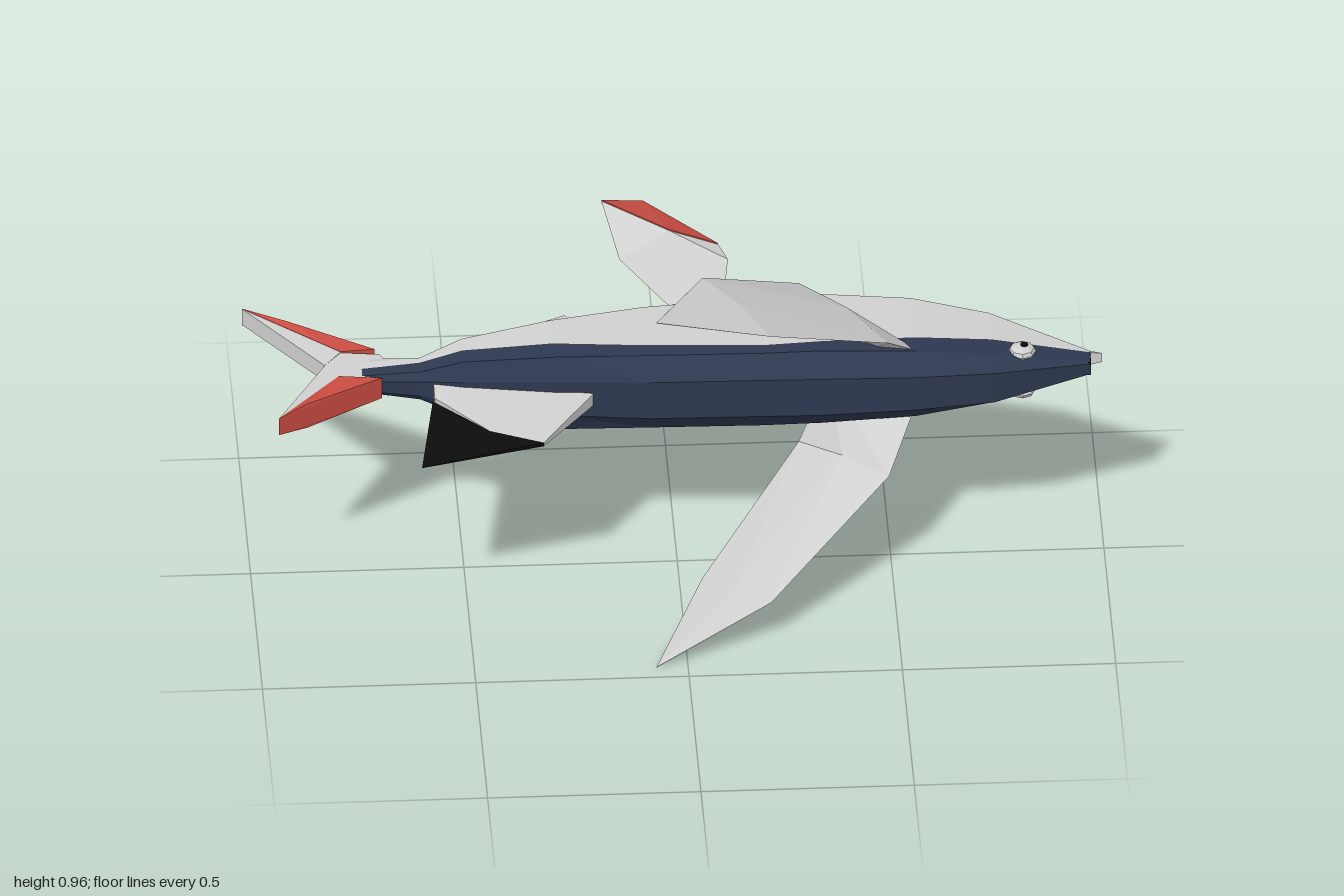
import * as THREE from 'three';
import { ConvexGeometry } from 'three/addons/geometries/ConvexGeometry.js';

const mat = (name, color, side = THREE.FrontSide) =>
  Object.assign(new THREE.MeshStandardMaterial({ color, flatShading: true, side }), { name });

export function createModel() {
  const model = new THREE.Group();
  model.name = 'fish';
  model.position.y = 0.48; // the fish is symmetric about this height
  const root = new THREE.Group();
  root.add(model);

  const grey = mat('pale grey', 0xd0d0d0);
  const navy = mat('navy back', 0x2e3850);
  const red = mat('red fin', 0xcb4c42);
  const black = mat('black', 0x0c0c0c);

  const add = (name, geometry, material) => {
    const mesh = new THREE.Mesh(geometry, material);
    mesh.name = name;
    model.add(mesh);
    return mesh;
  };
  const hull = (name, points, material) =>
    add(name, new ConvexGeometry(points.map(p => new THREE.Vector3(...p))), material);
  // flat fin piece: [x, z, halfThickness] corners
  const plate = (name, corners, material) =>
    hull(name, corners.flatMap(([x, z, t]) => [[x, t, z], [x, -t, z]]), material);

  // Body stations: x, back z, back half width, shoulder z, half width,
  // colour split z, lower side z, belly z, belly half width
  const stations = [
    [-0.74, -0.05, 0.012, -0.06, 0.022, -0.09, -0.12, -0.15, 0.012],
    [-0.6, -0.03, 0.02, -0.045, 0.038, -0.085, -0.105, -0.12, 0.02],
    [-0.5, -0.005, 0.03, -0.025, 0.075, -0.075, -0.125, -0.14, 0.025],
    [-0.29, 0.03, 0.045, 0.005, 0.1, -0.055, -0.155, -0.185, 0.035],
    [-0.07, 0.05, 0.05, 0.01, 0.1, -0.035, -0.2, -0.225, 0.04],
    [0.2, 0.055, 0.05, 0.015, 0.1, -0.02, -0.225, -0.258, 0.04],
    [0.34, 0.058, 0.05, 0.012, 0.1, -0.03, -0.235, -0.268, 0.04],
    [0.56, 0.055, 0.045, 0.01, 0.09, -0.05, -0.22, -0.26, 0.035],
    [0.74, 0.04, 0.04, 0.0, 0.065, -0.07, -0.185, -0.21, 0.025],
    [0.97, -0.03, 0.014, -0.04, 0.018, -0.075, -0.082, -0.092, 0.012],
  ];
  const backStrip = ([x, d, a, u, w, s]) =>
    [[x, w, s], [x, w, u], [x, a, d], [x, -a, d], [x, -w, u], [x, -w, s]];
  const bellyStrip = ([x, , , , w, s, l, b, c]) =>
    [[x, -w, s], [x, -w, l], [x, -c, b], [x, c, b], [x, w, l], [x, w, s]];
  const loft = sections => {
    const pos = [];
    for (let k = 0; k < sections.length - 1; k++) {
      for (let i = 0; i < sections[k].length - 1; i++) {
        const a = sections[k][i], b = sections[k][i + 1];
        const c = sections[k + 1][i + 1], d = sections[k + 1][i];
        pos.push(...a, ...b, ...c, ...a, ...c, ...d);
      }
    }
    const g = new THREE.BufferGeometry();
    g.setAttribute('position', new THREE.Float32BufferAttribute(pos, 3));
    g.computeVertexNormals();
    return g;
  };
  add('back', loft(stations.map(backStrip)), navy);
  add('belly', loft(stations.map(bellyStrip)), grey);

  // Nose and jutting lower jaw
  const mouth = add('mouth', new THREE.BoxGeometry(0.008, 0.034, 0.045), black);
  mouth.position.set(0.968, 0, -0.054);
  hull('lowerJaw', [[0.965, 0.018, -0.074], [0.965, -0.018, -0.074], [0.965, 0.012, -0.093],
    [0.965, -0.012, -0.093], [1, 0.012, -0.078], [1, -0.012, -0.078], [1, 0.008, -0.085], [1, -0.008, -0.085]], grey);

  // Thick forked tail: grey trailing part and red leading part on each lobe
  plate('tailRoot', [[-0.82, -0.11, 0.022], [-0.78, -0.16, 0.024], [-0.69, -0.155, 0.02],
    [-0.66, -0.1, 0.02], [-0.715, -0.045, 0.022], [-0.79, -0.055, 0.024]], grey);
  plate('bellyLobeInner', [[-1, -0.365, 0.022], [-0.82, -0.11, 0.022], [-0.78, -0.16, 0.026]], grey);
  plate('bellyLobeEdge', [[-1, -0.365, 0.023], [-0.9, -0.29, 0.033], [-0.7, -0.165, 0.028], [-0.78, -0.16, 0.027]], red);
  plate('backLobeInner', [[-0.94, 0.115, 0.022], [-0.82, -0.11, 0.022], [-0.79, -0.055, 0.026]], grey);
  plate('backLobeEdge', [[-0.94, 0.115, 0.023], [-0.87, 0.07, 0.033], [-0.69, -0.04, 0.028], [-0.79, -0.055, 0.027]], red);

  // Dorsal fin with black tip
  plate('dorsalFin', [[-0.57, 0.03, 0.012], [-0.57, -0.03, 0.018], [-0.2, 0.02, 0.02], [-0.2, 0.04, 0.016],
    [-0.325, 0.225, 0.005], [-0.45, 0.175, 0.01]], grey);
  plate('dorsalTipRear', [[-0.575, 0.035, 0.006], [-0.45, 0.175, 0.01], [-0.615, 0.31, 0.001]], black);
  plate('dorsalTipFront', [[-0.325, 0.225, 0.005], [-0.45, 0.175, 0.01], [-0.615, 0.31, 0.001]], black);

  // Anal fin
  plate('analFin', [[-0.2, -0.16, 0.02], [-0.42, -0.13, 0.02], [-0.545, -0.175, 0.004],
    [-0.245, -0.325, 0.004], [-0.195, -0.205, 0.012]], grey);

  // Pectoral fin sections: one edge, other edge, half thickness
  const wing = [
    [[0.36, 0.06, -0.13], [0.57, 0.06, -0.035], 0.016],
    [[0.29, 0.22, -0.097], [0.49, 0.185, 0.12], 0.016],
    [[0.05, 0.417, 0.173], [0.2, 0.37, 0.364], 0.01],
    [[-0.075, 0.48, 0.46], [-0.073, 0.478, 0.458], 0.001],
  ];
  const wingNormal = [0.24, 0.88, -0.41];
  const diamond = ([p, q, t]) => [p, q, ...[t, -t].map(o => p.map((v, i) => (v + q[i]) / 2 + wingNormal[i] * o))];

  // Pelvic fin corners
  const tip = [-0.155, 0.262, -0.412], ridge = [0, 0.223, -0.336];
  const front = [0.115, 0.175, -0.345], outer = [-0.055, 0.226, -0.46];
  const pelvic = [tip, ridge, front, [-0.12, 0.18, -0.285], [0.135, 0.165, -0.295],
    [0.0, 0.085, -0.21], [0.12, 0.085, -0.225]];
  const edge = [tip, ridge, front, outer];

  for (const [side, s] of [['upper', 1], ['lower', -1]]) {
    const flip = pts => pts.map(([x, y, z]) => [x, y * s, z]);
    for (let i = 0; i < wing.length - 1; i++) {
      hull(side + 'PectoralFin' + (i + 1), flip([...diamond(wing[i]), ...diamond(wing[i + 1])]), grey);
    }
    hull(side + 'PelvicFin', flip(pelvic), grey);
    hull(side + 'PelvicFinEdge', flip([...edge.map(([x, y, z]) => [x, y + 0.003, z]),
      ...edge.map(([x, y, z]) => [x, y - 0.006, z])]), red);

    // Bulging eye with small pupil
    const eye = add(side + 'Eye', new THREE.SphereGeometry(1, 8, 6), grey);
    eye.scale.set(0.033, 0.018, 0.034);
    eye.position.set(0.81, 0.052 * s, -0.036);
    const pupil = add(side + 'Pupil', new THREE.CylinderGeometry(0.009, 0.009, 0.006, 8), black);
    pupil.position.set(0.815, 0.069 * s, -0.036);
  }
  return root;
}
